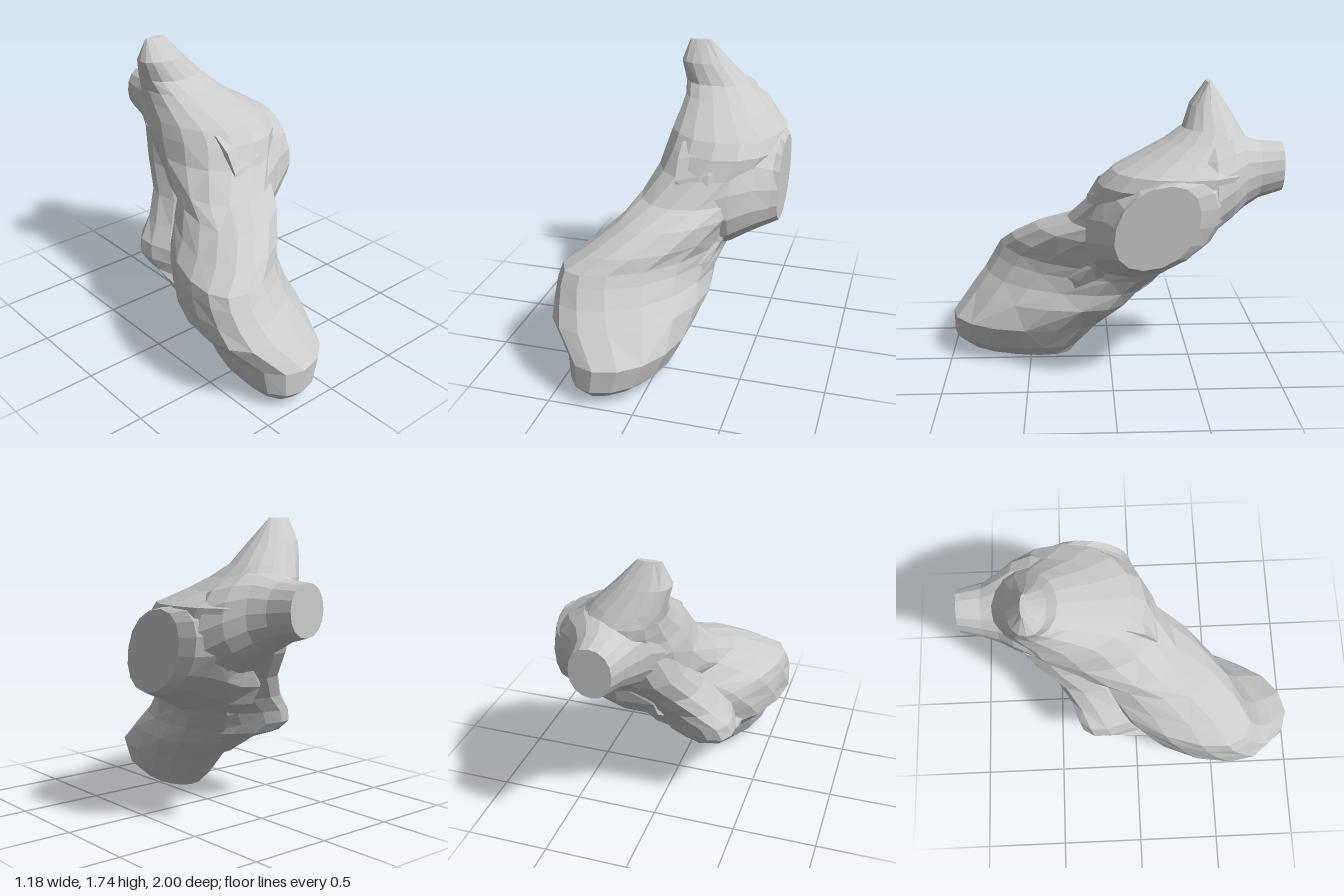
import * as THREE from 'three';

const SIDES = 16;
const material = new THREE.MeshStandardMaterial({ color: 0xcccccc, flatShading: true });

// Rounded section value: slightly squarer than an ellipse
const bulge = (v) => Math.sign(v) * Math.pow(Math.abs(v), 0.93);

// Loft of closed sections [position, uMin, uMax, vMin, vMax, tilt] in rising order along an axis;
// place() turns (u, v, position) into x, y, z with the same handedness.
function loft(name, sections, place) {
  const points = [];
  const index = [];
  for (const [w, u0, u1, v0, v1, tilt = 0] of sections) {
    for (let j = 0; j < SIDES; j++) {
      const t = (j / SIDES) * Math.PI * 2;
      const u = (u0 + u1) / 2 + ((u1 - u0) / 2) * bulge(Math.cos(t));
      const v = (v0 + v1) / 2 + ((v1 - v0) / 2) * bulge(Math.sin(t + tilt));
      points.push(...place(u, v, w));
    }
  }
  for (let i = 0; i < sections.length - 1; i++) {
    for (let j = 0; j < SIDES; j++) {
      const k = (j + 1) % SIDES;
      const a = i * SIDES + j, b = i * SIDES + k;
      const c = b + SIDES, d = a + SIDES;
      // alternate the diagonals for an irregular faceted skin
      if ((i + j) % 2) index.push(a, b, c, a, c, d);
      else index.push(a, b, d, b, c, d);
    }
  }
  // flat ends
  const last = (sections.length - 1) * SIDES;
  for (let j = 1; j < SIDES - 1; j++) {
    index.push(0, j + 1, j, last, last + j, last + j + 1);
  }
  const geometry = new THREE.BufferGeometry();
  geometry.setAttribute('position', new THREE.Float32BufferAttribute(points, 3));
  geometry.setIndex(index);
  geometry.computeVertexNormals();
  const mesh = new THREE.Mesh(geometry, material);
  mesh.name = name;
  return mesh;
}

const alongX = (u, v, w) => [w, u, v];
const alongY = (u, v, w) => [v, w, u];
const alongZ = (u, v, w) => [u, v, w];

export function createModel() {
  const group = new THREE.Group();
  group.name = 'knobblyBody';

  // Leaning body from the blunt foot to the pointed crest (sections hold z range, then x range)
  group.add(loft('body', [
    [0.01, 0.58, 0.84, -0.28, -0.14, -0.2],
    [0.04, 0.24, 0.93, -0.37, 0.04, -0.45],
    [0.11, 0.18, 1.00, -0.43, 0.10, -0.3],
    [0.25, 0.05, 1.00, -0.46, 0.17, -0.25],
    [0.40, -0.12, 0.88, -0.59, 0.23, -0.4],
    [0.50, -0.20, 0.80, -0.59, 0.23, -0.5],
    [0.60, -0.30, 0.74, -0.58, 0.27, -0.6],
    [0.67, -0.35, 0.70, -0.56, 0.31, -0.65],
    [0.75, -0.42, 0.62, -0.44, 0.35, -0.6],
    [0.86, -0.52, 0.46, -0.30, 0.42, -0.5],
    [0.94, -0.60, 0.26, -0.24, 0.47, -0.3],
    [1.08, -0.74, 0.14, -0.18, 0.53, -0.1],
    [1.20, -0.79, 0.08, -0.16, 0.57],
    [1.28, -0.80, 0, -0.14, 0.56],
    [1.36, -0.81, -0.17, -0.12, 0.43],
    [1.43, -0.80, -0.31, -0.11, 0.35],
    [1.50, -0.76, -0.42, -0.12, 0.28],
    [1.62, -0.69, -0.47, -0.15, 0.16],
    [1.75, -0.60, -0.57, -0.10, 0.04],
  ], alongY));

  // Heel spur pointing to the back right, with its web rising up the waist
  group.add(loft('heelSpur', [
    [0.28, 0.02, 0.40, -0.36, 0.12],
    [0.40, -0.15, 0.40, -0.40, 0.18, 0.2],
    [0.46, -0.31, 0.35, -0.40, 0.18, 0.5],
    [0.52, -0.36, 0.32, -0.42, 0.20, 0.6],
    [0.60, -0.38, 0.28, -0.40, 0.24, 0.55],
    [0.70, -0.42, 0.20, -0.32, 0.30, 0.4],
    [0.84, -0.51, 0.15, -0.23, 0.38, 0.3],
    [1.00, -0.65, 0.05, -0.17, 0.44, 0.25],
    [1.18, -0.74, 0, -0.13, 0.46, 0.2],
  ], alongY));

  // Cut end at the back of the trunk
  group.add(loft('backEnd', [
    [-1, 0.04, 0.28, 1.13, 1.42],
    [-0.86, 0.01, 0.32, 1.09, 1.43],
    [-0.77, -0.02, 0.38, 1.04, 1.46],
    [-0.69, -0.07, 0.47, 0.99, 1.48, -0.1],
    [-0.58, -0.11, 0.54, 0.91, 1.46, -0.1],
    [-0.40, -0.10, 0.50, 0.75, 1.40],
  ], alongZ));

  // Side stump with a flat cut face (sections hold y range, then z range)
  group.add(loft('sideStump', [
    [0, 0.58, 1.28, -0.50, 0.16],
    [0.20, 0.60, 1.34, -0.60, 0.18, -0.2],
    [0.32, 0.65, 1.36, -0.66, 0.15, -0.35],
    [0.45, 0.72, 1.33, -0.65, 0.08, -0.4],
    [0.55, 0.76, 1.28, -0.58, 0.02, -0.35],
    [0.59, 0.78, 1.26, -0.48, 0, -0.3],
  ], alongX));

  return group;
}
